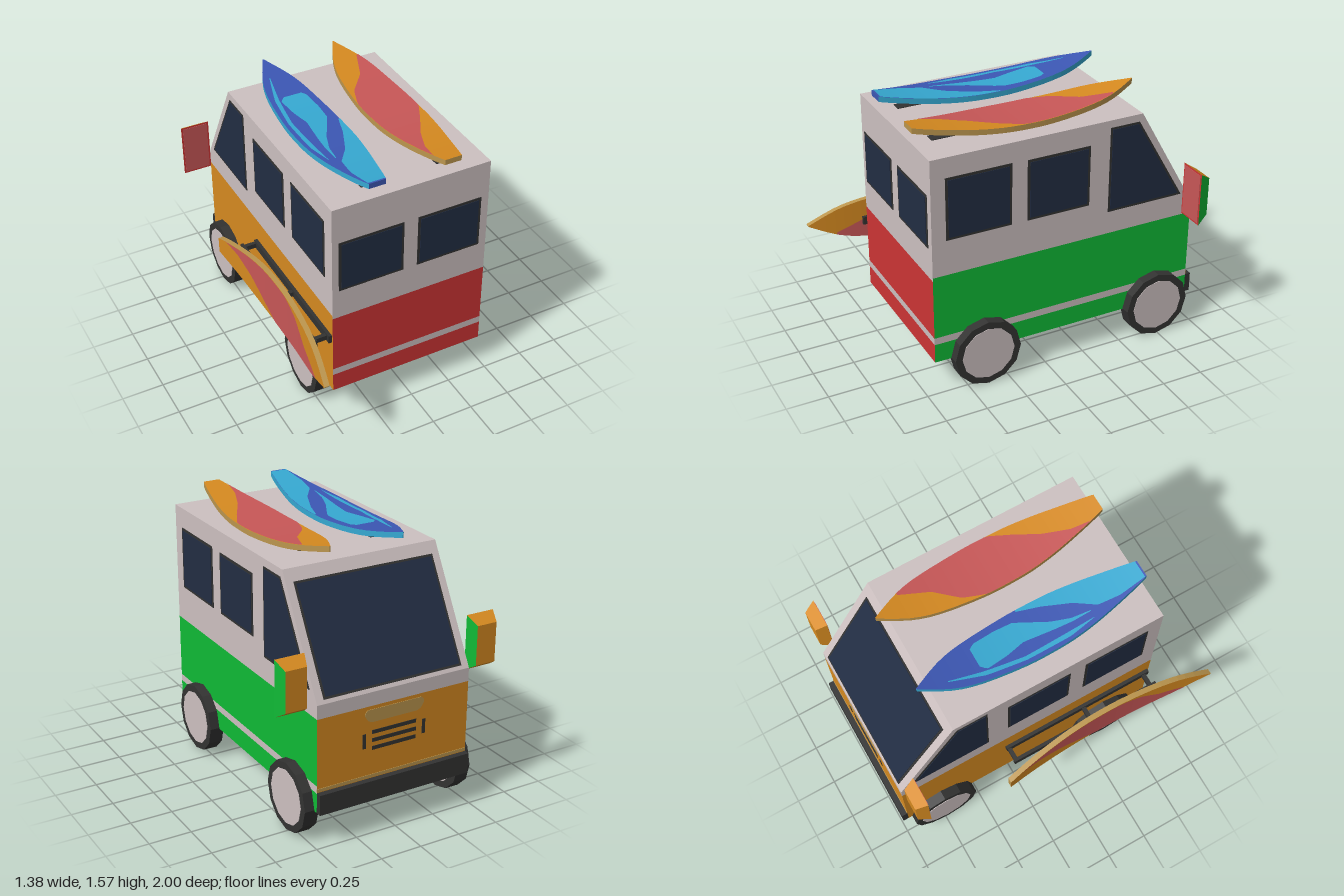
import * as THREE from 'three';

const mat = (name, color, side = THREE.FrontSide) =>
  Object.assign(new THREE.MeshStandardMaterial({ color, side }), { name });

export function createModel() {
  const white = mat('paleBody', 0xcdc1c1), dark = mat('darkTrim', 0x333332), glass = mat('navyGlass', 0x222d43);
  const red = mat('red', 0xcd3434), green = mat('green', 0x10bb36), orange = mat('orange', 0xd68a20);
  const tan = mat('tan', 0xbc964e), salmon = mat('salmon', 0xc85757);
  const blue = mat('blue', 0x3c57b4), cyan = mat('cyan', 0x36a9d2);

  const van = new THREE.Group();
  van.name = 'camperVan';

  function add(name, geometry, material, parent = van) {
    const mesh = new THREE.Mesh(geometry, material);
    mesh.name = name;
    parent.add(mesh);
    return mesh;
  }
  // Box given by its limits
  function box(name, material, [x0, x1], [y0, y1], [z0, z1], parent = van) {
    const g = new THREE.BoxGeometry(x1 - x0, y1 - y0, z1 - z0);
    g.translate((x0 + x1) / 2, (y0 + y1) / 2, (z0 + z1) / 2);
    return add(name, g, material, parent);
  }
  // Profile of [z, y] points extruded across x
  function prism(name, material, points, x0, x1) {
    const shape = new THREE.Shape(points.map(p => new THREE.Vector2(...p)));
    const g = new THREE.ExtrudeGeometry(shape, { depth: x1 - x0, bevelEnabled: false });
    g.rotateY(-Math.PI / 2).translate(x1, 0, 0);
    return add(name, g, material);
  }

  // Lower body: stacked bands, each side its own colour (+x, -x, +y, -y, +z, -z)
  const W = [-0.48, 0.48], L = [-0.965, 0.69];
  const paint = [green, orange, white, dark, red, orange];
  box('sill', paint, W, [0.2, 0.317], L);
  box('stripeBand', [white, orange, white, dark, white, orange], W, [0.317, 0.36], L);
  box('lowerBody', paint, W, [0.36, 0.73], L);
  box('beltBand', [green, orange, white, dark, white, orange], W, [0.73, 0.75], L);
  // Upper body with sloping front
  prism('upperBody', white, [[0.69, 0.75], [0.69, 1.46], [-0.605, 1.46], [-0.965, 0.83], [-0.965, 0.75]], ...W);

  // Side windows, on both sides
  const rect = (z0, z1, y0, y1) => [[z0, y0], [z1, y0], [z1, y1], [z0, y1]];
  const sideWindows = [
    [rect(0.21, 0.605, 0.965, 1.34), rect(0.225, 0.59, 0.98, 1.325)],
    [rect(-0.275, 0.115, 0.965, 1.335), rect(-0.26, 0.1, 0.98, 1.32)],
    [[[-0.4, 0.89], [-0.4, 1.415], [-0.585, 1.415], [-0.89, 0.89]],
      [[-0.412, 0.905], [-0.412, 1.403], [-0.578, 1.403], [-0.865, 0.905]]],
  ];
  for (const s of [1, -1]) {
    for (const [frame, pane] of sideWindows) {
      const plate = (name, m, pts, d) => prism(name, m, pts, Math.min(s * 0.478, s * d), Math.max(s * 0.478, s * d));
      plate('sideWindowFrame', dark, frame, 0.483);
      plate('sideWindowGlass', glass, pane, 0.486);
    }
    // Rear windows
    const c = s * 0.24 - 0.004;
    box('rearWindowFrame', dark, [c - 0.197, c + 0.197], [0.915, 1.238], [0.688, 0.693]);
    box('rearWindowGlass', glass, [c - 0.182, c + 0.182], [0.93, 1.223], [0.688, 0.696]);
  }

  // Windscreen lying on the slope
  const windscreen = new THREE.Group();
  windscreen.name = 'windscreen';
  windscreen.position.set(0, 1.46 - 0.63 * 0.535, -0.605 - 0.36 * 0.535);
  windscreen.rotation.x = Math.atan2(-0.36, -0.63);
  van.add(windscreen);
  box('windscreenFrame', dark, [-0.435, 0.435], [-0.315, 0.315], [-0.002, 0.003], windscreen);
  box('windscreenGlass', glass, [-0.422, 0.422], [-0.302, 0.302], [-0.002, 0.006], windscreen);

  // Nose details and bumper
  const badge = new THREE.Shape();
  badge.moveTo(-0.17, 0.73).lineTo(0.17, 0.73).quadraticCurveTo(0.2, 0.71, 0.18, 0.685);
  badge.quadraticCurveTo(0.165, 0.655, 0.13, 0.655).lineTo(-0.13, 0.655);
  badge.quadraticCurveTo(-0.165, 0.655, -0.18, 0.685).quadraticCurveTo(-0.2, 0.71, -0.17, 0.73);
  add('nosePanel', new THREE.ExtrudeGeometry(badge, { depth: 0.005, bevelEnabled: false }).translate(0, 0, -0.968), tan);
  const nose = [-0.968, -0.964];
  for (const y of [0.595, 0.547, 0.5]) box('grilleSlot', dark, [-0.14, 0.14], [y - 0.011, y + 0.011], nose);
  for (const x of [-0.19, 0.19]) box('grilleEnd', dark, [x - 0.01, x + 0.01], [0.507, 0.593], nose);
  box('noseTrim', tan, W, [0.325, 0.343], nose);
  box('bumper', dark, W, [0.2, 0.32], [-1, -0.965]);

  // Wheels: faceted tyres with pale discs on both faces
  const disc = (r, h) => {
    const g = new THREE.CylinderGeometry(r, r, h, 12).toNonIndexed().rotateZ(Math.PI / 2);
    g.computeVertexNormals();
    return g;
  };
  for (const x of [-0.495, 0.495]) for (const z of [0.385, -0.735]) {
    add('tyre', disc(0.205, 0.086), dark).position.set(x, 0.205, z);
    add('hub', disc(0.163, 0.092), white).position.set(x, 0.205, z);
  }

  // Mirrors: boxes tapering to the front
  for (const s of [1, -1]) {
    const g = new THREE.BoxGeometry(0.175, 0.325, 0.07);
    const p = g.attributes.position;
    for (let i = 0; i < p.count; i++) if (p.getZ(i) < 0) p.setXY(i, p.getX(i) * 0.72, p.getY(i) * 0.72);
    g.computeVertexNormals();
    const mirror = add('mirror', g, [green, orange, orange, orange, red, orange]);
    mirror.position.set(s * 0.597, 0.942, -0.92);
    box('mirrorFace', salmon, [-0.077, 0.077], [-0.152, 0.152], [0.034, 0.038], mirror);
  }

  // Surfboards: outline as [v along length, half width]
  const outline = new THREE.SplineCurve([[-0.675, 0.003], [-0.51, 0.082], [-0.35, 0.122], [-0.1, 0.147], [0.05, 0.15],
    [0.2, 0.145], [0.35, 0.126], [0.5, 0.097], [0.64, 0.066], [0.7, 0.05]].map(p => new THREE.Vector2(...p)))
    .getPoints(27).map(p => [p.x, p.y]);
  const look = (table, v, k) => {
    let i = 1;
    while (i < table.length - 1 && table[i][0] < v) i++;
    const a = table[i - 1], b = table[i];
    return THREE.MathUtils.lerp(a[k], b[k], THREE.MathUtils.clamp((v - a[0]) / (b[0] - a[0]), 0, 1));
  };
  const rocker = v => 0.068 * ((v - 0.01) / 0.69) ** 2;
  const thick = 0.032;
  // Ribbon of quads between rows of point pairs
  function ribbon(rows) {
    const pos = [];
    for (let i = 1; i < rows.length; i++) {
      const [a0, b0] = rows[i - 1], [a1, b1] = rows[i];
      pos.push(...a0, ...a1, ...b1, ...a0, ...b1, ...b0);
    }
    const g = new THREE.BufferGeometry();
    g.setAttribute('position', new THREE.Float32BufferAttribute(pos, 3));
    g.computeVertexNormals();
    return g;
  }
  function surfboard(name, base, edge, tail, patchColour, patches) {
    const board = new THREE.Group();
    board.name = name;
    const at = (s, h) => ([v, w]) => [s * w, rocker(v) + h, v];
    const tl = outline.map(at(-1, thick)), tr = outline.map(at(1, thick));
    const bl = outline.map(at(-1, 0)), br = outline.map(at(1, 0));
    const pair = (a, b) => ribbon(a.map((p, i) => [p, b[i]]));
    add('deck', pair(tl, tr), base, board);
    add('underside', pair(br, bl), base, board);
    add('rightRail', pair(tr, br), edge, board);
    add('leftRail', pair(bl, tl), edge, board);
    const n = outline.length - 1;
    add('tail', ribbon([[tl[n], tr[n]], [bl[n], br[n]]]), tail, board);
    add('tip', ribbon([[tr[0], tl[0]], [br[0], bl[0]]]), edge, board);
    // Painted patches, rows of [v, left, right] clipped to the outline
    for (const patch of patches) for (const up of [true, false]) {
      const v0 = patch[0][0], v1 = patch[patch.length - 1][0], rows = [];
      for (let i = 0; i <= 40; i++) {
        const v = v0 + (v1 - v0) * i / 40, w = look(outline, v, 1), y = rocker(v) + (up ? thick + 0.002 : -0.002);
        const l = THREE.MathUtils.clamp(look(patch, v, 1), -w, w);
        const r = Math.max(l, Math.min(w, look(patch, v, 2)));
        rows.push(up ? [[l, y, v], [r, y, v]] : [[r, y, v], [l, y, v]]);
      }
      add(up ? 'deckPaint' : 'undersidePaint', ribbon(rows), patchColour, board);
    }
    van.add(board);
    return board;
  }
  const sweep = [[[-0.51, 0.07, 0.15], [-0.34, 0.005, 0.15], [-0.21, -0.105, 0.15], [-0.08, -0.15, 0.15], [0.08, -0.15, 0.15],
    [0.21, -0.15, 0.085], [0.35, -0.15, 0.005], [0.5, -0.15, -0.055], [0.64, -0.15, -0.075]]];
  const waves = [
    [[-0.51, -0.04, -0.035], [-0.31, -0.1, -0.075], [-0.08, -0.127, -0.105], [0.19, -0.127, -0.1], [0.35, -0.1, -0.098]],
    [[-0.32, -0.04, 0.07], [-0.29, -0.07, 0.09], [-0.16, -0.055, 0.1], [-0.05, -0.03, 0.095], [0, -0.035, 0.07],
      [0.13, -0.05, 0], [0.24, -0.06, -0.04], [0.35, -0.06, -0.055]],
    [[0, 0.14, 0.15], [0.13, 0.1, 0.15], [0.29, 0.03, 0.15], [0.4, -0.05, 0.15], [0.53, -0.065, 0.15], [0.69, -0.05, 0.15]],
  ];
  surfboard('blueSurfboard', blue, cyan, blue, cyan, waves).position.set(-0.22, 1.467, 0);
  surfboard('orangeSurfboard', orange, tan, tan, salmon, sweep).position.set(0.235, 1.467, 0);
  for (const x of [-0.22, 0.235]) box('roofRail', dark, [x - 0.03, x + 0.03], [1.455, 1.464], [-0.4, 0.58]);

  // Board hung on the side, tip to the rear
  const sideBoard = surfboard('sideSurfboard', orange, tan, tan, salmon, sweep);
  sideBoard.quaternion.setFromRotationMatrix(new THREE.Matrix4().makeBasis(
    new THREE.Vector3(0, -1, 0), new THREE.Vector3(-1, 0, 0), new THREE.Vector3(0, 0, -1)));
  sideBoard.position.set(-0.592, 0.58, 0.325);

  // Side rack
  box('rackBar', dark, [-0.59, -0.57], [0.555, 0.605], [-0.29, 0.68]);
  box('rackPlate', dark, [-0.5, -0.478], [0.555, 0.605], [-0.29, 0.68]);
  for (const z of [-0.275, 0.23, 0.645]) box('rackStrut', dark, [-0.572, -0.498], [0.565, 0.595], [z - 0.012, z + 0.012]);

  return van;
}
